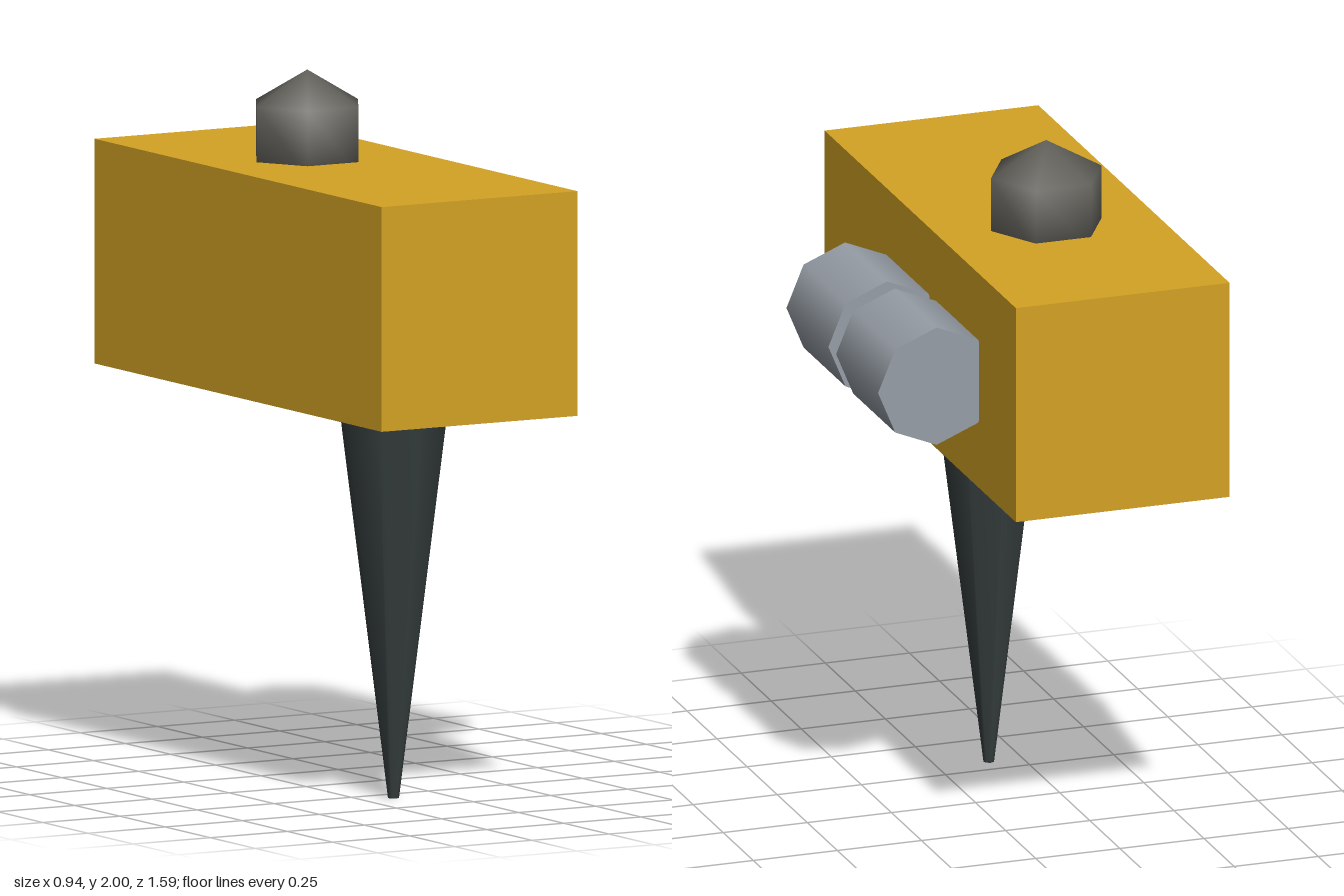
import * as THREE from 'three';

const yellow = new THREE.MeshStandardMaterial({ color: 0xd4a324 });
const steel = new THREE.MeshStandardMaterial({ color: 0x979ea6 });
const darkMetal = new THREE.MeshStandardMaterial({ color: 0x363e3e });
const capGrey = new THREE.MeshStandardMaterial({ color: 0x62615b });
yellow.name = 'yellow';
steel.name = 'steel';
darkMetal.name = 'darkMetal';
capGrey.name = 'capGrey';

export function createModel() {
  const model = new THREE.Group();
  model.name = 'model';
  const axisX = -0.153;

  function add(name, geometry, material, x, y, z) {
    const mesh = new THREE.Mesh(geometry, material);
    mesh.name = name;
    mesh.position.set(x, y, z);
    model.add(mesh);
    return mesh;
  }

  // Long square housing
  add('housing', new THREE.BoxGeometry(0.635, 0.635, 1.59), yellow, axisX, 1.432, 0);

  // Tapered spike below the housing
  add('spike', new THREE.CylinderGeometry(0.159, 0.016, 1.116, 8), darkMetal, axisX, 0.558, 0.318);

  // Six-sided knob, partly sunk into the top
  add('knob', new THREE.SphereGeometry(0.19, 6, 3), capGrey, axisX, 1.81, -0.159);

  // Two octagonal canisters half sunk into the left side
  const canister = new THREE.CylinderGeometry(0.174, 0.174, 0.349, 8).rotateX(Math.PI / 2);
  [['frontCanister', 0.097], ['rearCanister', -0.316]].forEach(([name, z]) =>
    add(name, canister, steel, 0.291, 1.432, z));

  return model;
}
